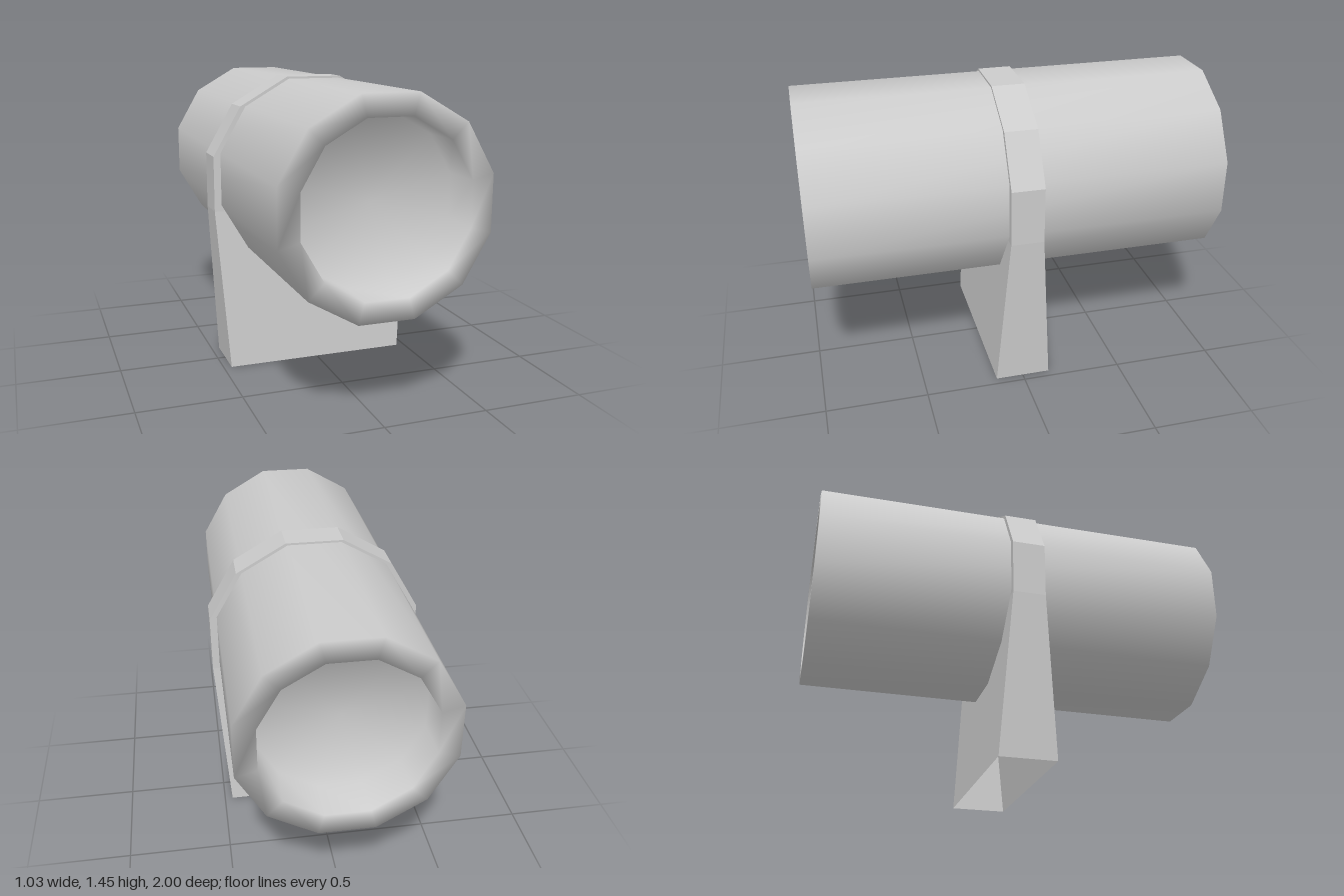
import * as THREE from 'three';
import { mergeVertices } from 'three/addons/utils/BufferGeometryUtils.js';

const SIDES = 12;
const PIPE_Y = 0.96;
const FLAT_TO_CORNER = 1 / Math.cos(Math.PI / SIDES);

// Twelve-sided pipe with thick rims and a recessed disc in each end,
// softly shaded all over
function createPipe() {
  const outer = 0.48 * FLAT_TO_CORNER;
  const inner = 0.382 * FLAT_TO_CORNER;
  const recess = 0.2;
  const profile = [
    [0, -1 + recess], [inner, -1 + recess], [inner, -1], [outer, -1],
    [outer, 1], [inner, 1], [inner, 1 - recess], [0, 1 - recess],
  ].map(([r, z]) => new THREE.Vector2(r, z));

  let geometry = new THREE.LatheGeometry(profile, SIDES, Math.PI / SIDES);
  geometry.deleteAttribute('normal');
  geometry.deleteAttribute('uv');
  geometry = mergeVertices(geometry, 1e-4);
  geometry.computeVertexNormals();
  geometry.rotateX(Math.PI / 2);

  const pipe = new THREE.Mesh(geometry, new THREE.MeshStandardMaterial({ color: 0xcccccc }));
  pipe.name = 'pipe';
  pipe.position.y = PIPE_Y;
  return pipe;
}

// Flat-sided stand: a flared foot, open underneath, rising into an angular collar
function createStand() {
  // height, half width, half depth, from the ground up
  const rows = [
    [0, 0.46, 0.137],
    [0.8, 0.515, 0.08],
    [1.073, 0.515, 0.08],
    [1.312, 0.377, 0.08],
    [1.45, 0.138, 0.08],
  ];
  const last = rows.length - 1;
  const box = new THREE.BoxGeometry(2, last, 2, 1, last, 1);

  // Leave the underside out
  const bottom = box.groups[3];
  box.setIndex(Array.from(box.index.array).filter(
    (_, i) => i < bottom.start || i >= bottom.start + bottom.count));
  box.clearGroups();

  // Shape each level of the box to its row
  const p = box.attributes.position;
  for (let i = 0; i < p.count; i++) {
    const [y, halfWidth, halfDepth] = rows[Math.round(p.getY(i) + last / 2)];
    p.setXYZ(i, p.getX(i) * halfWidth, y, p.getZ(i) * halfDepth);
  }
  const geometry = box.toNonIndexed();
  geometry.computeVertexNormals();

  const stand = new THREE.Mesh(geometry, new THREE.MeshStandardMaterial({
    color: 0xcccccc, flatShading: true, side: THREE.DoubleSide,
  }));
  stand.name = 'stand';
  return stand;
}

export function createModel() {
  const model = new THREE.Group();
  model.name = 'pipeOnStand';
  model.add(createPipe(), createStand());
  return model;
}
